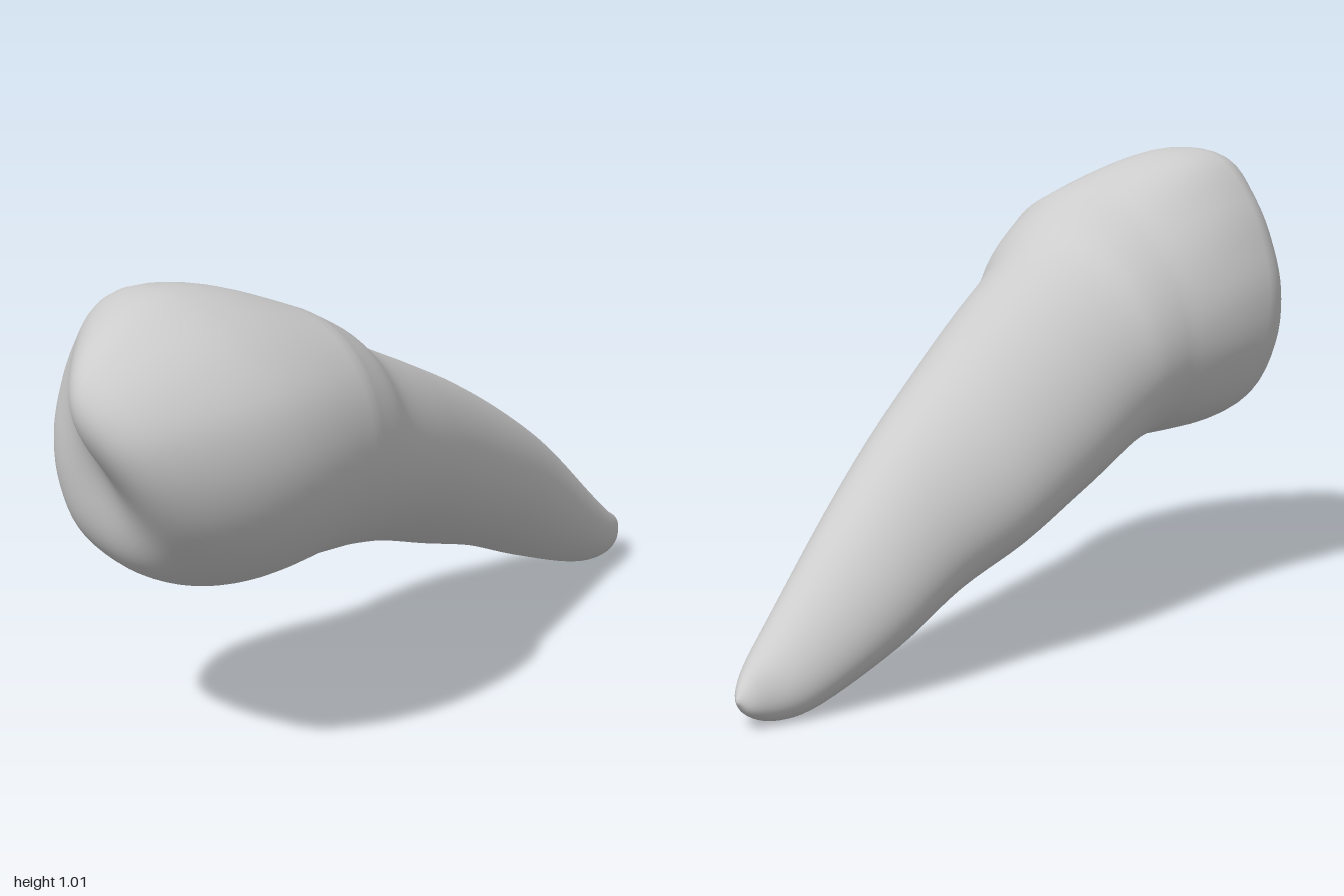
import * as THREE from 'three';
import { mergeVertices } from 'three/addons/utils/BufferGeometryUtils.js';

const SIDES = 72;

// Root and neck stations: z, bottom y, top y, min x, max x
const STATIONS = [
  [-1, 0.06, 0.06, -0.165, -0.165],
  [-0.97, 0.025, 0.095, -0.195, -0.135],
  [-0.9, 0.003, 0.135, -0.217, -0.09],
  [-0.8, 0.012, 0.215, -0.24, -0.06],
  [-0.6, 0.08, 0.385, -0.275, -0.015],
  [-0.4, 0.16, 0.515, -0.285, 0.04],
  [-0.2, 0.22, 0.627, -0.305, 0.095],
  [0, 0.285, 0.72, -0.3, 0.155],
  [0.2, 0.335, 0.81, -0.28, 0.215],
  [0.3, 0.355, 0.877, -0.278, 0.258],
  [0.4, 0.368, 0.929, -0.28, 0.287],
];

// Crown outline: radii at even angles about the crown centre
const CENTRE_Y = 0.69;
const RADII = [0.305, 0.305, 0.298, 0.303, 0.322, 0.33, 0.3, 0.287,
  0.3, 0.325, 0.35, 0.34, 0.324, 0.312, 0.305, 0.304];

const outline = new THREE.CatmullRomCurve3(RADII.map((r, i) => {
  const a = (i / RADII.length) * Math.PI * 2;
  return new THREE.Vector3(r * Math.cos(a), CENTRE_Y + r * Math.sin(a), 0);
}), true, 'catmullrom');

const bump = (x, y, cx, cy, sx, sy) =>
  Math.exp(-(((x - cx) / sx) ** 2 + ((y - cy) / sy) ** 2) / 2);

// Biting surface: main cusp, low cusp, ridges and shallow central valley
function biteHeight(x, y) {
  return 0.825
    + 0.17 * bump(x, y, 0.045, 0.82, x < 0.045 ? 0.095 : 0.14, 0.15)
    + 0.03 * bump(x, y, -0.19, 0.66, 0.07, 0.15)
    + 0.05 * bump(x, y, -0.03, 0.98, 0.09, 0.09)
    + 0.045 * bump(x, y, 0.18, 0.66, 0.08, 0.15)
    - 0.035 * bump(x, y, -0.02, 0.65, 0.09, 0.1);
}

// Widest line of the crown leans forward at the top and left
const rimZ = (a) => 0.63 + 0.07 * Math.sin(a) - 0.05 * Math.cos(a);

// Root section: an ellipse tilted from lower left to upper right
function sectionPoint(a, h, w) {
  const fade = 1 - 0.35 * THREE.MathUtils.smoothstep(h.x, 0, 0.4);
  const tilt = (0.13 - 0.05 * Math.cos(a)) * fade;
  return new THREE.Vector3(
    (w.y + w.z) / 2 + ((w.z - w.y) / 2) * Math.cos(a - tilt),
    (h.y + h.z) / 2 + ((h.z - h.y) / 2) * Math.sin(a + tilt),
    h.x);
}

function createRings() {
  const rings = [];
  const addRing = (fn) => {
    const ring = [];
    for (let j = 0; j < SIDES; j++) ring.push(fn((j / SIDES) * Math.PI * 2, j / SIDES));
    rings.push(ring);
  };

  // Root: sections between smoothly interpolated bounds
  const heights = new THREE.CatmullRomCurve3(
    STATIONS.map((s) => new THREE.Vector3(s[0], s[1], s[2])), false, 'catmullrom');
  const widths = new THREE.CatmullRomCurve3(
    STATIONS.map((s) => new THREE.Vector3(s[0], s[3], s[4])), false, 'catmullrom');
  const steps = 50;
  for (let i = 0; i <= steps; i++) {
    const h = heights.getPoint(i / steps);
    const w = widths.getPoint(i / steps);
    addRing((a) => sectionPoint(a, h, w));
  }

  // Crown wall: swell from the neck to the rim
  const neck = rings[rings.length - 1];
  for (let i = 1; i <= 10; i++) {
    const u = i / 10;
    const swell = Math.sin((u * Math.PI) / 2);
    addRing((a, t) => {
      const n = neck[Math.round(t * SIDES)];
      const p = n.clone().lerp(outline.getPoint(t), swell);
      p.z = n.z + (rimZ(a) - n.z) * u;
      return p;
    });
  }

  // Crown front: round over the rim into the biting surface
  const capSteps = 28;
  for (let i = 1; i <= capSteps; i++) {
    const scale = i === capSteps ? 0 : Math.cos(((i / capSteps) * Math.PI) / 2);
    const rise = Math.sqrt(1 - scale ** 4);
    addRing((a, t) => {
      const p = outline.getPoint(t);
      const x = p.x * scale;
      const y = CENTRE_Y + (p.y - CENTRE_Y) * scale;
      return new THREE.Vector3(x, y, rimZ(a) + (biteHeight(x, y) - rimZ(a)) * rise);
    });
  }
  return rings;
}

function loft(rings) {
  const positions = rings.flat().flatMap((p) => [p.x, p.y, p.z]);
  const index = [];
  for (let i = 0; i < rings.length - 1; i++) {
    for (let j = 0; j < SIDES; j++) {
      const k = (j + 1) % SIDES;
      const a = i * SIDES + j, b = i * SIDES + k;
      index.push(a, b, b + SIDES, a, b + SIDES, a + SIDES);
    }
  }
  let geometry = new THREE.BufferGeometry();
  geometry.setAttribute('position', new THREE.Float32BufferAttribute(positions, 3));
  geometry.setIndex(index);
  geometry = mergeVertices(geometry, 1e-5);
  geometry.computeVertexNormals();
  return geometry;
}

export function createModel() {
  const group = new THREE.Group();
  group.name = 'tooth';
  const enamel = new THREE.MeshStandardMaterial({ color: 0xcccccc });
  enamel.name = 'light grey';
  const tooth = new THREE.Mesh(loft(createRings()), enamel);
  tooth.name = 'crownAndRoot';
  group.add(tooth);
  return group;
}
